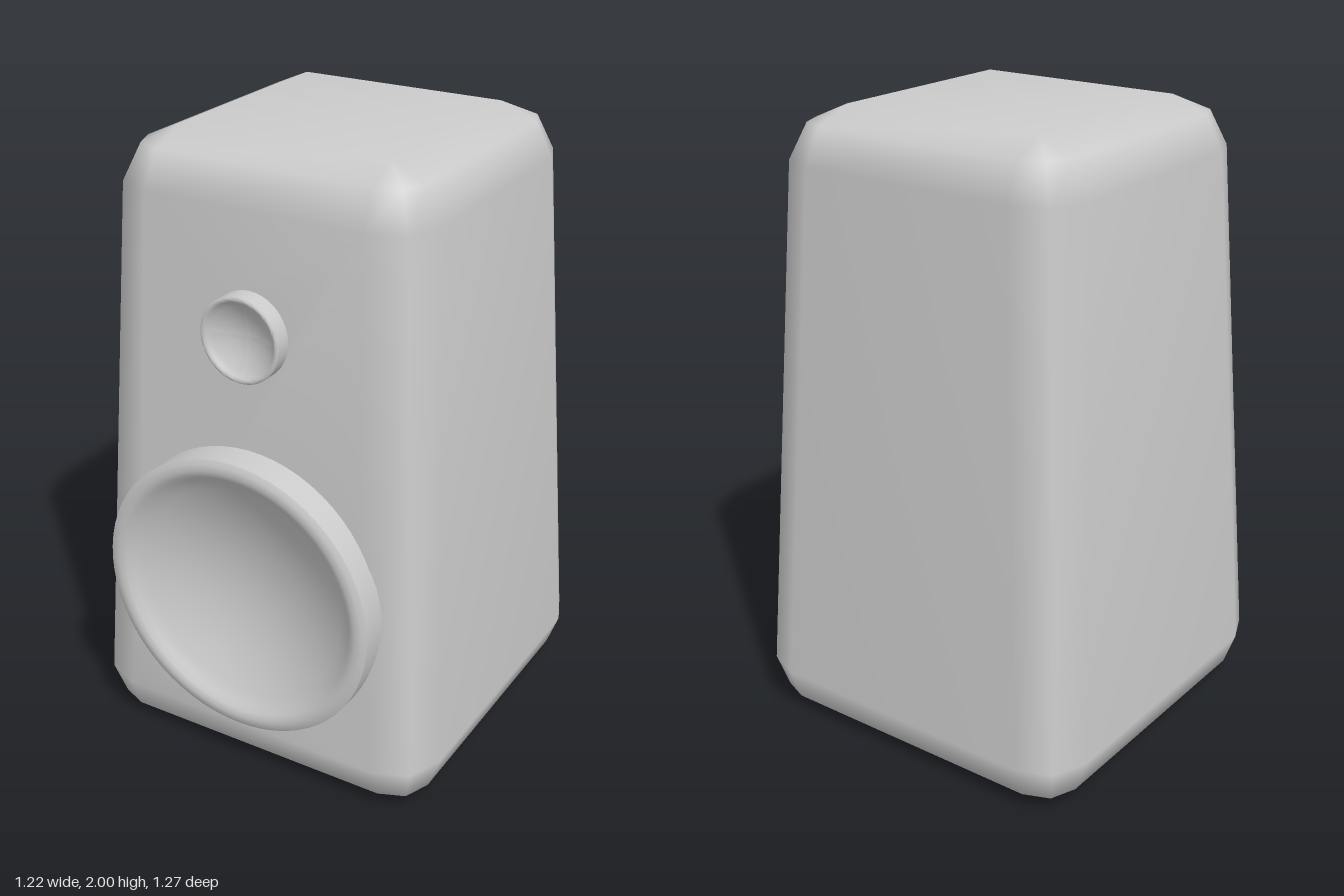
import * as THREE from 'three';
import { mergeGeometries, mergeVertices, toCreasedNormals } from 'three/addons/utils/BufferGeometryUtils.js';

const CENTER_Z = -0.027;
const WOOFER = { y: 0.66, hole: 0.4 };
const TWEETER = { y: 1.48, hole: 0.11 };

// Cabinet levels: height, half width, half width of the flat side between the bevels
const LEVELS = [
  [0, 0.455, 0.455], [0.05, 0.57, 0.455], [0.16, 0.61, 0.455],
  [1.84, 0.515, 0.36], [1.95, 0.46, 0.355], [2, 0.345, 0.345],
];

// Square with two-step bevelled corners, counter-clockwise seen from above
function ring([y, half, flat]) {
  const mid = flat + (half - flat) * 0.71;
  const points = [];
  for (let k = 0; k < 4; k++) {
    for (let [u, v] of [[half, flat], [mid, mid], [flat, half]]) {
      for (let r = 0; r < k; r++) [u, v] = [-v, u];
      points.push(u, y, CENTER_Z - v);
    }
  }
  return points;
}

// Sloping front panel with round openings behind the drivers
function frontPanel() {
  const [y0, half0, flat0] = LEVELS[2];
  const [y1, half1, flat1] = LEVELS[3];
  const shape = new THREE.Shape([
    new THREE.Vector2(-flat0, y0), new THREE.Vector2(flat0, y0),
    new THREE.Vector2(flat1, y1), new THREE.Vector2(-flat1, y1),
  ]);
  for (const { y, hole } of [WOOFER, TWEETER]) {
    shape.holes.push(new THREE.Path().absarc(0, y, hole, 0, Math.PI * 2, true));
  }
  const panel = new THREE.ShapeGeometry(shape, 24);
  const pos = panel.attributes.position;
  for (let i = 0; i < pos.count; i++) {
    const t = (pos.getY(i) - y0) / (y1 - y0);
    pos.setZ(i, CENTER_Z + THREE.MathUtils.lerp(half0, half1, t));
  }
  panel.deleteAttribute('normal');
  panel.deleteAttribute('uv');
  return panel;
}

function cabinetGeometry() {
  const n = 12, index = [];
  for (let l = 0; l < LEVELS.length - 1; l++) {
    for (let j = 0; j < n; j++) {
      if (l === 2 && j === 8) continue; // left open for the front panel
      const a = l * n + j, b = l * n + (j + 1) % n;
      index.push(a, b, b + n, a, b + n, a + n);
    }
  }
  // Bottom and top, whose corners each meet in one point
  const top = (LEVELS.length - 1) * n;
  index.push(0, 6, 3, 0, 9, 6, top, top + 3, top + 6, top, top + 6, top + 9);

  const shell = new THREE.BufferGeometry();
  shell.setAttribute('position', new THREE.Float32BufferAttribute(LEVELS.flatMap(ring), 3));
  shell.setIndex(index);
  const body = mergeVertices(mergeGeometries([shell, frontPanel()]), 1e-4);
  body.computeVertexNormals();
  return body;
}

// Driver turned around the z axis: side wall, rounded lip, then a concave bowl
function driver(name, y, rim, bowlRadius, bowlEdge, bowlDepth, material) {
  const profile = rim.map(([r, z]) => new THREE.Vector2(r, z));
  const steps = 10;
  for (let i = 0; i <= steps; i++) {
    const t = 1 - i / steps;
    profile.push(new THREE.Vector2(bowlRadius * t, bowlEdge - bowlDepth * (1 - t * t)));
  }
  const geometry = toCreasedNormals(new THREE.LatheGeometry(profile, 64), 0.8);
  const mesh = new THREE.Mesh(geometry, material);
  mesh.name = name;
  mesh.rotation.x = Math.PI / 2;
  mesh.position.y = y;
  return mesh;
}

export function createModel() {
  const group = new THREE.Group();
  group.name = 'speaker';
  const material = new THREE.MeshStandardMaterial({ color: 0xcccccc });

  const cabinet = new THREE.Mesh(cabinetGeometry(), material);
  cabinet.name = 'cabinet';
  group.add(cabinet);

  group.add(driver('woofer', WOOFER.y,
    [[0.46, 0.49], [0.46, 0.626], [0.445, 0.634], [0.425, 0.637], [0.405, 0.63]],
    0.39, 0.615, 0.11, material));
  group.add(driver('tweeter', TWEETER.y,
    [[0.132, 0.48], [0.132, 0.558], [0.127, 0.562], [0.122, 0.562], [0.116, 0.558]],
    0.111, 0.553, 0.035, material));
  return group;
}
